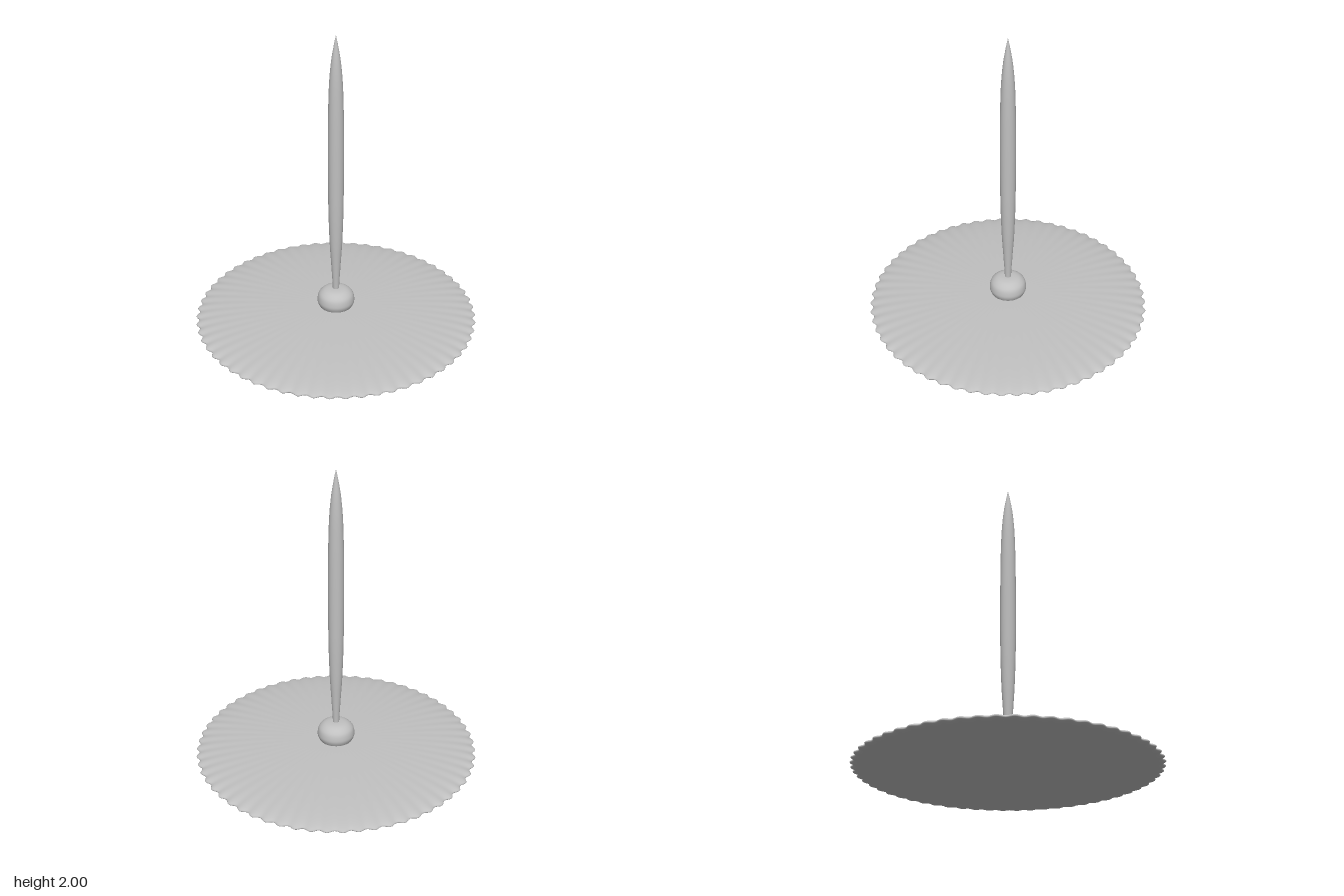
import * as THREE from 'three';
import { mergeVertices } from 'three/addons/utils/BufferGeometryUtils.js';

const RIPPLES = 60;

// Flattened ellipsoid whose rim is scalloped all the way round
function rippledDisc(radius, halfHeight, depth) {
  let geo = new THREE.SphereGeometry(1, RIPPLES * 8, 40);
  geo.deleteAttribute('uv');
  geo.deleteAttribute('normal');
  geo = mergeVertices(geo, 1e-5);
  const p = geo.attributes.position;
  for (let i = 0; i < p.count; i++) {
    const x = p.getX(i), y = p.getY(i), z = p.getZ(i);
    const r = radius * (1 + depth * Math.cos(RIPPLES * Math.atan2(z, x)));
    p.setXYZ(i, x * r, y * halfHeight, z * r);
  }
  geo.computeVertexNormals();
  return geo;
}

// Smooth turned shape through a few [radius, height] points
function turned(points, steps, sides) {
  const curve = new THREE.SplineCurve(points.map(([r, y]) => new THREE.Vector2(r, y)));
  const profile = curve.getPoints(steps);
  profile.forEach((v) => { v.x = Math.max(v.x, 0); });
  return new THREE.LatheGeometry(profile, sides);
}

export function createModel() {
  const group = new THREE.Group();
  const grey = new THREE.MeshStandardMaterial({ color: 0xc0c0c0 });
  grey.name = 'plain grey';

  const add = (name, geometry, y = 0) => {
    const mesh = new THREE.Mesh(geometry, grey);
    mesh.name = name;
    mesh.position.y = y;
    group.add(mesh);
  };

  // Wide scalloped base
  add('rippledDisc', rippledDisc(0.92, 0.063, 0.011), 0.066);

  // Rounded knob sitting on the disc
  add('knob', turned([
    [0, 0.085], [0.06, 0.09], [0.1, 0.115], [0.12, 0.15], [0.122, 0.18],
    [0.112, 0.215], [0.085, 0.241], [0.05, 0.253], [0, 0.256],
  ], 40, 48));

  // Slender spindle, narrow at the foot and pointed at the tip
  add('spindle', turned([
    [0.02, 0.22], [0.023, 0.3], [0.032, 0.45], [0.041, 0.6], [0.048, 0.82], [0.05, 1.05],
    [0.05, 1.3], [0.048, 1.5], [0.042, 1.69], [0.03, 1.83], [0.014, 1.93], [0, 2],
  ], 60, 40));

  return group;
}
